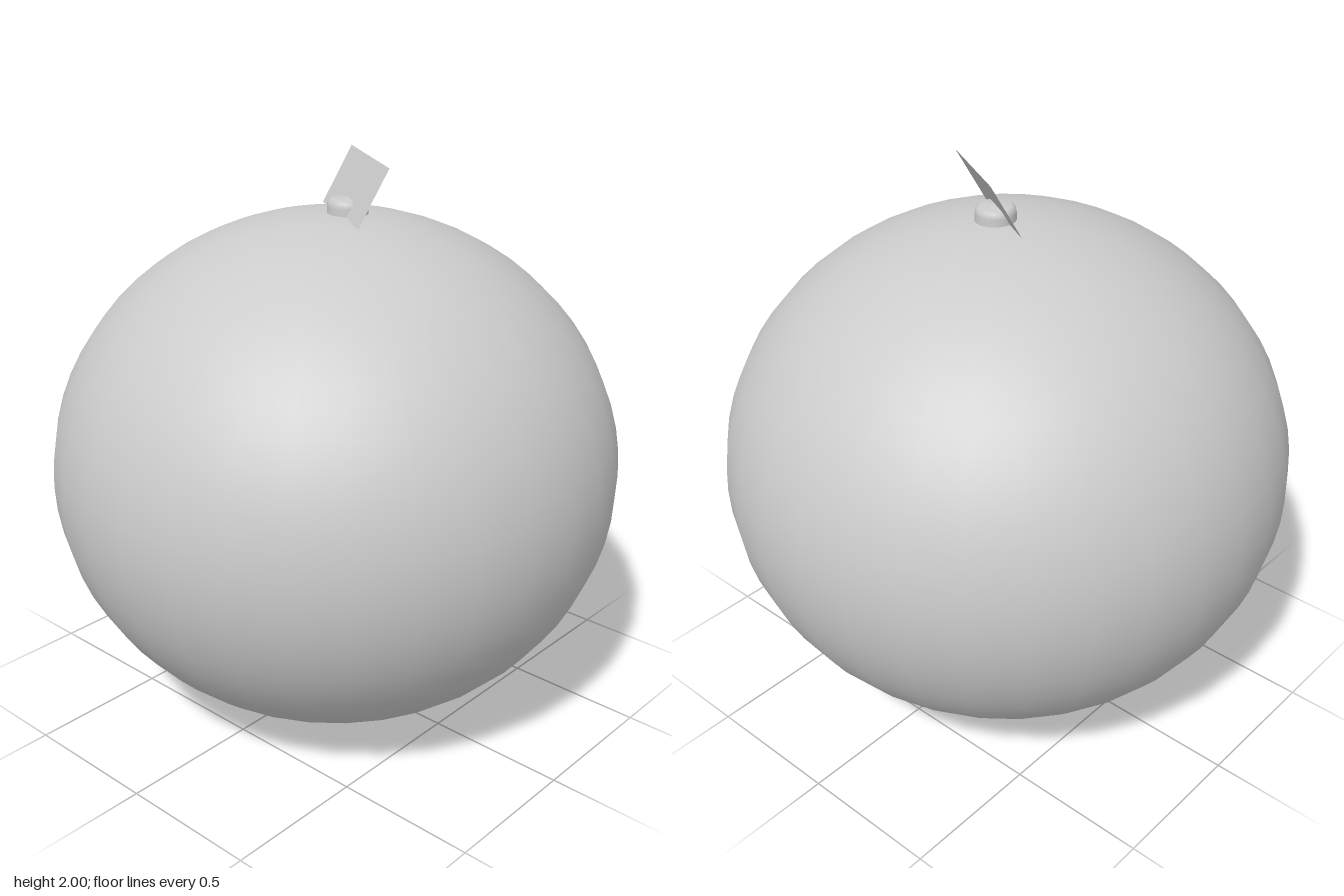
import * as THREE from 'three';

export function createModel() {
  const group = new THREE.Group();
  const grey = new THREE.MeshStandardMaterial({ color: 0xcccccc });
  const add = (name, geometry, material = grey) => {
    const mesh = new THREE.Mesh(geometry, material);
    mesh.name = name;
    group.add(mesh);
    return mesh;
  };

  // Slightly flattened round fruit
  const body = add('fruitBody', new THREE.SphereGeometry(1, 32, 32));
  body.scale.y = 0.904;
  body.position.y = 0.904;

  // Short stub of a stem with a softened rim, sunk into the top
  const profile = [[0.07, 0], [0.07, 0.075], [0.066, 0.092], [0.055, 0.1], [0, 0.104]]
    .map(([r, y]) => new THREE.Vector2(r, y));
  const stem = add('stem', new THREE.LatheGeometry(profile, 20));
  stem.position.set(0.025, 1.754, 0.03);

  // Flat leaf leaning over from its base edge, spanned by its edge directions
  const leafMaterial = grey.clone();
  leafMaterial.side = THREE.DoubleSide;
  const along = new THREE.Vector3(0.188, 0.01, -0.327);
  const up = new THREE.Vector3(0.093, 0.19, 0.05);
  const normal = new THREE.Vector3().crossVectors(along, up).normalize();
  const leafGeometry = new THREE.PlaneGeometry(1, 1);
  leafGeometry.applyMatrix4(new THREE.Matrix4().makeBasis(along, up, normal));
  leafGeometry.computeVertexNormals();
  const leaf = add('leaf', leafGeometry, leafMaterial);
  leaf.position.set(0.041, 1.895, 0.048);

  return group;
}
